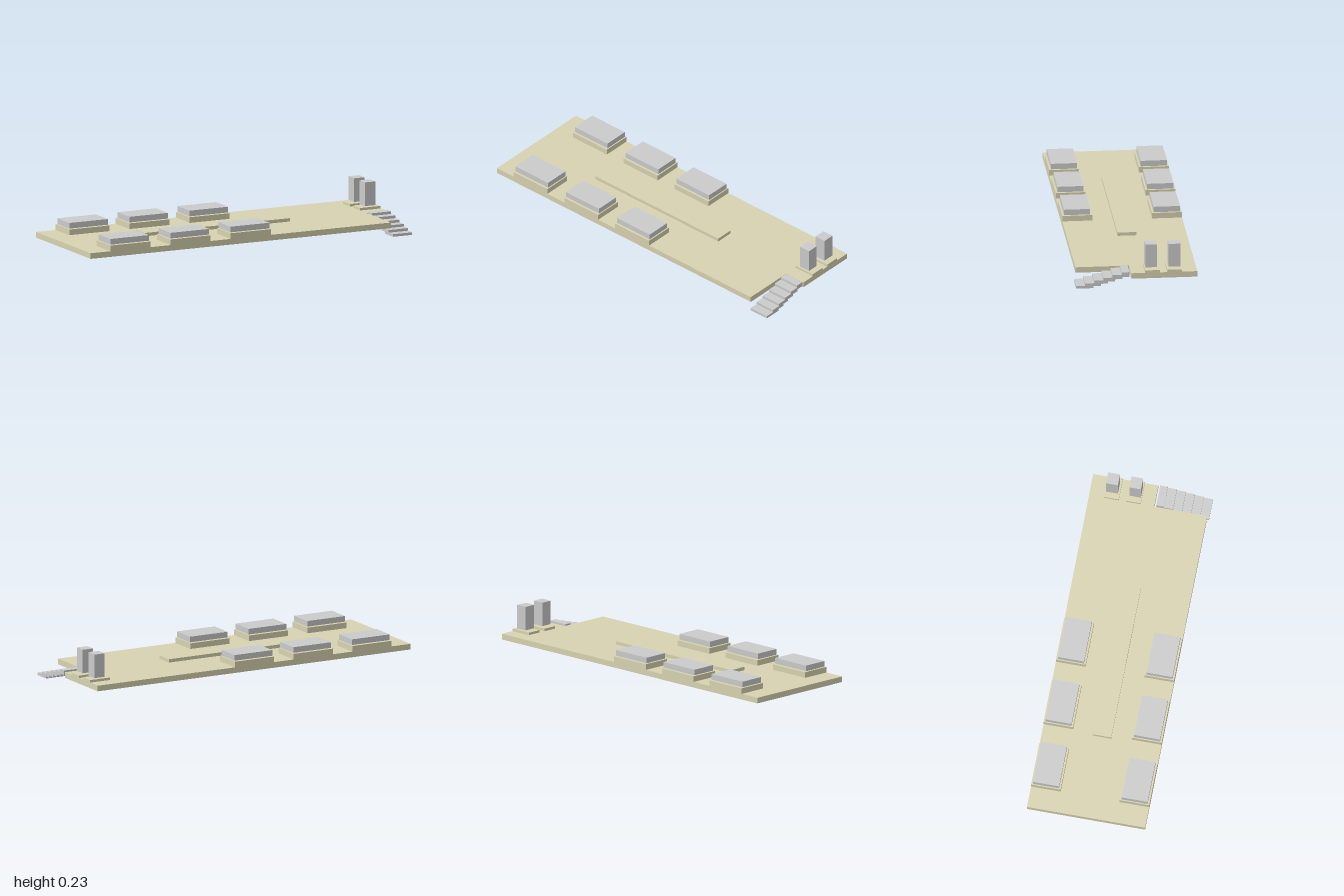
import * as THREE from 'three';

const sand = new THREE.MeshStandardMaterial({ color: 0xd8d3b2 });
const grey = new THREE.MeshStandardMaterial({ color: 0xcccccc });

// Box given by its minimum and maximum corners
function box(name, material, [x0, y0, z0], [x1, y1, z1]) {
  const mesh = new THREE.Mesh(new THREE.BoxGeometry(x1 - x0, y1 - y0, z1 - z0), material);
  mesh.position.set((x0 + x1) / 2, (y0 + y1) / 2, (z0 + z1) / 2);
  mesh.name = name;
  return mesh;
}

// Flat plan outline in [x, z] points, extruded upwards from y0 to y1
function plate(name, outline, y0, y1, hole) {
  const toPoints = (list) => list.map(([x, z]) => new THREE.Vector2(x, -z));
  const shape = new THREE.Shape(toPoints(outline));
  if (hole) shape.holes.push(new THREE.Path(toPoints(hole)));
  const geometry = new THREE.ExtrudeGeometry(shape, { depth: y1 - y0, bevelEnabled: false });
  geometry.rotateX(-Math.PI / 2);
  const mesh = new THREE.Mesh(geometry, sand);
  mesh.position.y = y0;
  mesh.name = name;
  return mesh;
}

const rect = (x0, z0, x1, z1) => [[x0, z0], [x1, z0], [x1, z1], [x0, z1]];

export function createModel() {
  const model = new THREE.Group();
  model.name = 'platform';
  const top = 0.08;

  // Base slab with the corner cut out for the stairs
  model.add(plate('baseSlab',
    [[-1, -0.338], [1, -0.338], [1, 0.03], [0.873, 0.03], [0.873, 0.329], [-1, 0.329]], 0.048, top));

  // Two rows of plinths, each with a block hovering just above it
  for (const [row, z0, z1] of [['front', 0.162, 0.329], ['back', -0.338, -0.171]]) {
    for (let i = 0; i < 3; i++) {
      const x = -0.877 + i * 0.375;
      const group = new THREE.Group();
      group.name = `${row}Block${i + 1}`;
      group.add(box('plinth', sand, [x, top, z0], [x + 0.25, 0.112, z1]));
      group.add(box('block', grey, [x + 0.005, 0.115, z0 + 0.011], [x + 0.246, 0.147, z1 - 0.01]));
      model.add(group);
    }
  }

  // Low rim of the long central basin
  model.add(plate('basinRim', rect(-0.518, -0.058, 0.386, 0.047), top, 0.099,
    rect(-0.504, -0.048, 0.372, 0.037)));

  // Pair of pillars on low pads beside the stairs
  for (const [name, padBack, padFront, z0, z1] of [
    ['frontPillar', -0.129, -0.047, -0.116, -0.051],
    ['backPillar', -0.253, -0.171, -0.248, -0.181],
  ]) {
    const group = new THREE.Group();
    group.name = name;
    group.add(box('pad', sand, [0.873, top, padBack], [1, 0.094, padFront]));
    group.add(box('pillar', grey, [0.904, 0.101, z0], [0.97, 0.235, z1]));
    model.add(group);
  }

  // Overlapping steps rising towards the back
  const stairs = new THREE.Group();
  stairs.name = 'stairs';
  for (let i = 0; i < 6; i++) {
    stairs.add(box(`step${i + 1}`, grey,
      [0.88, i * 0.012, 0.24 - i * 0.04], [1, (i + 1) * 0.0145, 0.338 - i * 0.051]));
  }
  model.add(stairs);
  return model;
}
